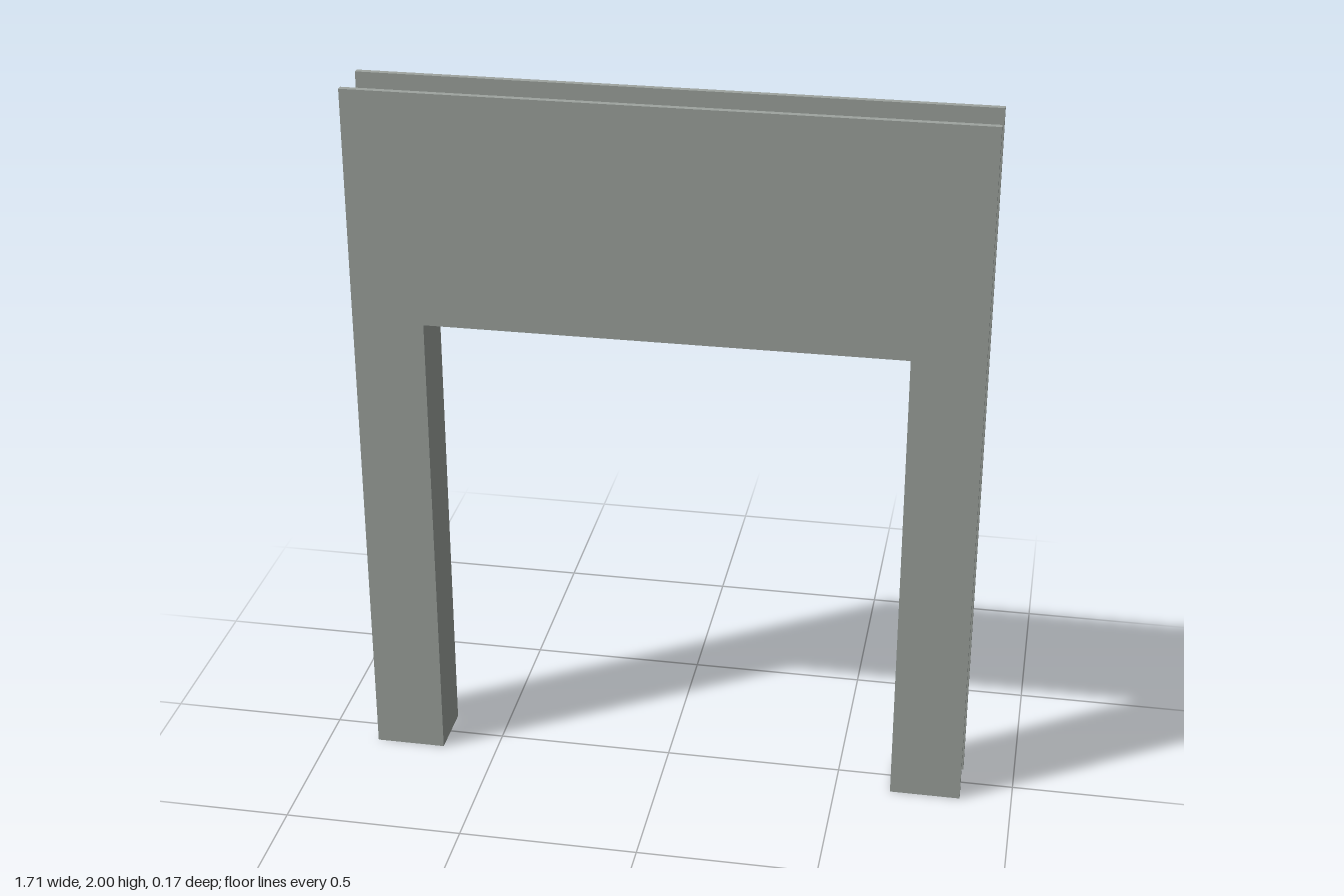
import * as THREE from 'three';

const W = 0.855, H = 2;            // half width and height of the panels
const OW = 0.657, OH = 1.348;      // half width and height of the opening
const INNER = 0.066, OUTER = 0.083; // panel faces, distance from centre

export function createModel() {
  const group = new THREE.Group();
  const grey = new THREE.MeshStandardMaterial({ color: 0x9ea49f, side: THREE.DoubleSide });
  grey.name = 'warm grey';

  const add = (name, geometry, x, y, z) => {
    const mesh = new THREE.Mesh(geometry, grey);
    mesh.name = name;
    mesh.position.set(x, y, z);
    group.add(mesh);
    return mesh;
  };

  // Two portal-shaped panels, front and back
  const outline = new THREE.Shape([
    [-W, 0], [-OW, 0], [-OW, OH], [OW, OH], [OW, 0], [W, 0], [W, H], [-W, H],
  ].map(([x, y]) => new THREE.Vector2(x, y)));
  const panel = new THREE.ExtrudeGeometry(outline, { depth: OUTER - INNER, bevelEnabled: false });
  add('frontPanel', panel, 0, 0, INNER);
  add('backPanel', panel, 0, 0, -OUTER);

  // Thin lining of the opening, joining the panels
  const jamb = new THREE.PlaneGeometry(2 * INNER, OH);
  add('leftJamb', jamb, OW, OH / 2, 0).rotation.y = -Math.PI / 2;
  add('rightJamb', jamb, -OW, OH / 2, 0).rotation.y = Math.PI / 2;
  add('headLining', new THREE.PlaneGeometry(2 * OW, 2 * INNER), 0, OH, 0).rotation.x = Math.PI / 2;

  return group;
}
